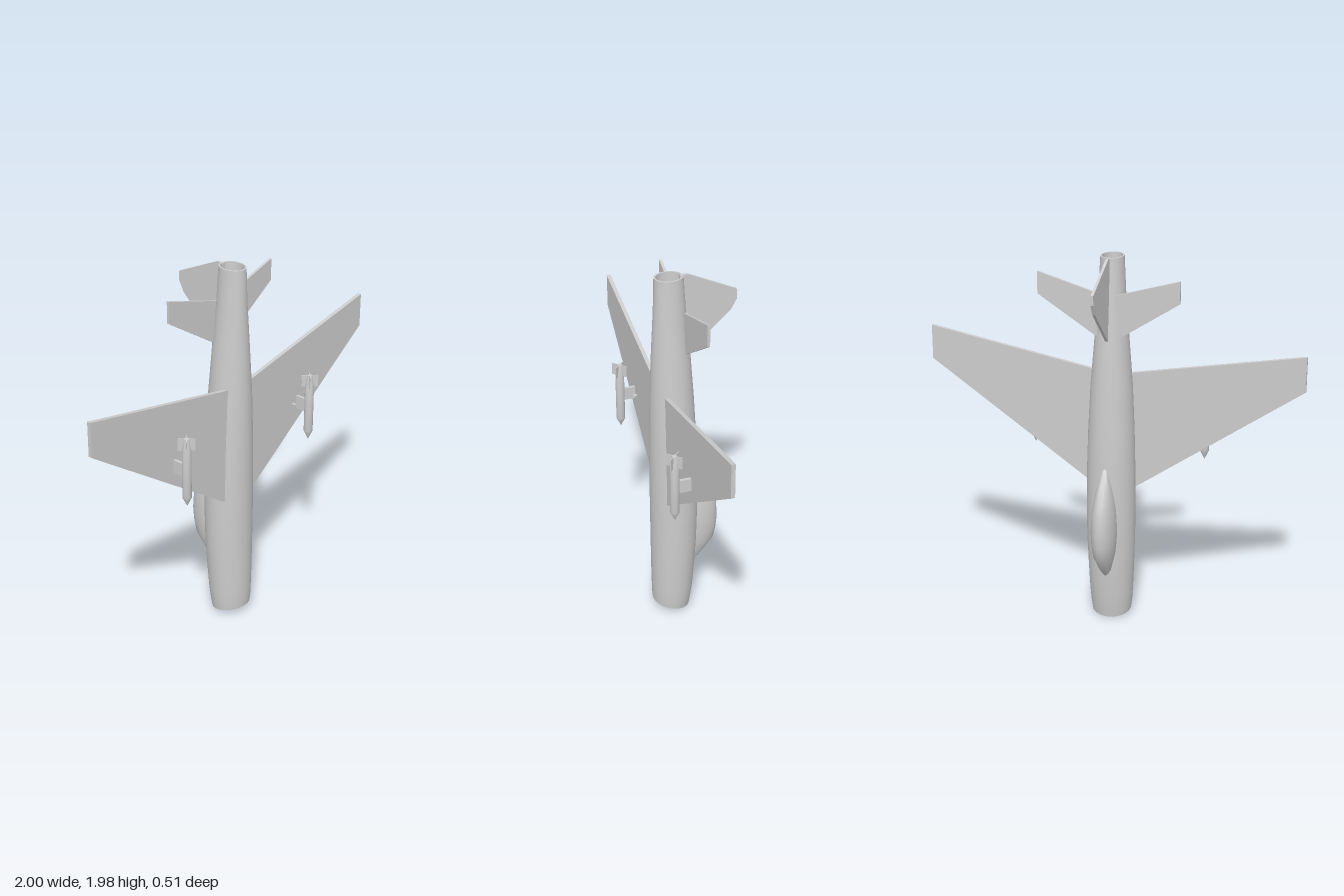
import * as THREE from 'three';
import { toCreasedNormals } from 'three/addons/utils/BufferGeometryUtils.js';

const grey = new THREE.MeshStandardMaterial({ color: 0xcccccc });
grey.name = 'light grey';

function part(name, geometry) {
  const mesh = new THREE.Mesh(geometry, grey);
  mesh.name = name;
  return mesh;
}

// Skin over elliptical rings [y, centreZ, radiusX, radiusZ, tilt].
// Rings listed upwards face outwards, rings listed downwards face inwards.
function loft(rings, sides = 24, crease = 0.6) {
  const pos = [], index = [];
  for (const [y, cz, rx, rz, tilt = 0] of rings) {
    for (let j = 0; j <= sides; j++) {
      const a = (j % sides) / sides * Math.PI * 2;
      const dz = rz * Math.cos(a);
      pos.push(rx * Math.sin(a), y + tilt * dz, cz + dz);
    }
  }
  const row = sides + 1;
  for (let i = 0; i < rings.length - 1; i++) {
    for (let j = 0; j < sides; j++) {
      const a = i * row + j, b = a + row;
      if (rings[i][2] > 0) index.push(a, a + 1, b + 1);
      if (rings[i + 1][2] > 0) index.push(a, b + 1, b);
    }
  }
  const g = new THREE.BufferGeometry();
  g.setAttribute('position', new THREE.Float32BufferAttribute(pos, 3));
  g.setIndex(index);
  return toCreasedNormals(g, crease);
}

// Swept slab from a root chord to a tip chord: { x, y0, y1, z }
function panel(root, tip, thickness, side) {
  const g = new THREE.BoxGeometry(2, 2, 2).toNonIndexed();
  const p = g.attributes.position;
  for (let i = 0; i < p.count; i++) {
    const c = p.getX(i) * side > 0 ? tip : root;
    p.setXYZ(i, side * c.x, p.getY(i) > 0 ? c.y1 : c.y0, c.z + p.getZ(i) * thickness / 2);
  }
  g.computeVertexNormals();
  return g;
}

function createStore(side) {
  const store = new THREE.Group();
  store.name = side > 0 ? 'leftStore' : 'rightStore';
  const body = new THREE.Group();
  body.name = 'storeBody';
  body.position.z = 0.223;
  body.add(part('storeCasing', loft([
    [0.89, 0, 0, 0], [0.94, 0, 0.024, 0.024], [1.2, 0, 0.024, 0.024],
    [1.265, 0, 0.013, 0.013], [1.265, 0, 0, 0],
  ], 12)));
  // Four diagonal tail fins
  for (let k = 0; k < 4; k++) {
    const fin = part('storeFin', new THREE.BoxGeometry(0.034, 0.065, 0.004).translate(0.027, 1.2335, 0));
    fin.rotation.y = Math.PI / 4 + k * Math.PI / 2;
    body.add(fin);
  }
  const pylon = part('pylon', new THREE.BoxGeometry(0.016, 0.07, 0.07));
  pylon.position.set(0, 1.085, 0.17);
  const bracket = part('pylonBracket', new THREE.BoxGeometry(0.016, 0.004, 0.025));
  bracket.position.set(-side * 0.036, 1.085, 0.152);
  store.add(body, pylon, bracket);
  store.position.x = side * 0.467;
  return store;
}

export function createModel() {
  const model = new THREE.Group();
  model.name = 'jetAircraft';

  // Fuselage, nose down with a slanted intake
  const noseTilt = 0.2;
  model.add(part('fuselage', loft([
    [0.024, 0.098, 0.105, 0.098, noseTilt],
    [0.07, 0.095, 0.111, 0.104, 0.1],
    [0.14, 0.09, 0.116, 0.11],
    [0.28, 0.085, 0.122, 0.117],
    [0.45, 0.08, 0.128, 0.122],
    [0.62, 0.078, 0.13, 0.125],
    [0.85, 0.078, 0.127, 0.125],
    [1.05, 0.081, 0.121, 0.122],
    [1.3, 0.085, 0.109, 0.113],
    [1.56, 0.089, 0.088, 0.099],
    [1.8, 0.094, 0.069, 0.082],
    [1.98, 0.097, 0.06, 0.074],
  ])));

  // Hollow intake with its lip
  model.add(part('intakeDuct', loft([
    [0.25, 0.095, 0, 0],
    [0.25, 0.095, 0.085, 0.085],
    [0.024, 0.098, 0.095, 0.088, noseTilt],
    [0.024, 0.098, 0.105, 0.098, noseTilt],
  ])));

  // Hollow exhaust with its inner cone
  model.add(part('exhaustDuct', loft([
    [1.98, 0.097, 0.06, 0.074],
    [1.98, 0.097, 0.052, 0.065],
    [1.86, 0.096, 0.05, 0.06],
    [1.86, 0.096, 0, 0],
  ])));
  model.add(part('exhaustCone', loft([
    [1.86, 0.096, 0.04, 0.045], [1.95, 0.096, 0.01, 0.01], [1.95, 0.096, 0, 0],
  ], 16)));

  // Cockpit canopy on the back
  model.add(part('canopy', loft([
    [0.25, -0.02, 0, 0],
    [0.3, -0.032, 0.03, 0.03],
    [0.4, -0.05, 0.055, 0.093],
    [0.47, -0.052, 0.063, 0.105],
    [0.54, -0.053, 0.066, 0.11],
    [0.645, -0.052, 0.061, 0.104],
    [0.71, -0.05, 0.051, 0.083],
    [0.78, -0.045, 0.038, 0.056],
    [0.875, -0.035, 0.012, 0.013],
    [0.9, -0.03, 0, 0],
  ], 24, 1)));

  // Wings, tailplanes and the stores beneath the wings
  for (const side of [1, -1]) {
    const prefix = side > 0 ? 'left' : 'right';
    model.add(part(prefix + 'Wing', panel(
      { x: 0.05, y0: 0.68, y1: 1.35, z: 0.138 },
      { x: 1, y0: 1.345, y1: 1.527, z: 0.121 }, 0.021, side)));
    model.add(part(prefix + 'Tailplane', panel(
      { x: 0.02, y0: 1.545, y1: 1.786, z: 0.028 },
      { x: 0.372, y0: 1.775, y1: 1.89, z: 0.02 }, 0.014, side)));
    model.add(createStore(side));
  }

  // Upright tail fin, drawn as (-z, y) and turned to stand on the back
  const outline = [[-0.04, 1.51], [0, 1.55], [0.225, 1.755], [0.255, 1.81], [0.255, 1.86], [0, 1.98], [-0.04, 1.98]];
  const shape = new THREE.Shape(outline.map(([u, v]) => new THREE.Vector2(u, v)));
  const fin = part('tailFin', new THREE.ExtrudeGeometry(shape, { depth: 0.014, bevelEnabled: false }).translate(0, 0, -0.007));
  fin.rotation.y = Math.PI / 2;
  model.add(fin);

  return model;
}
